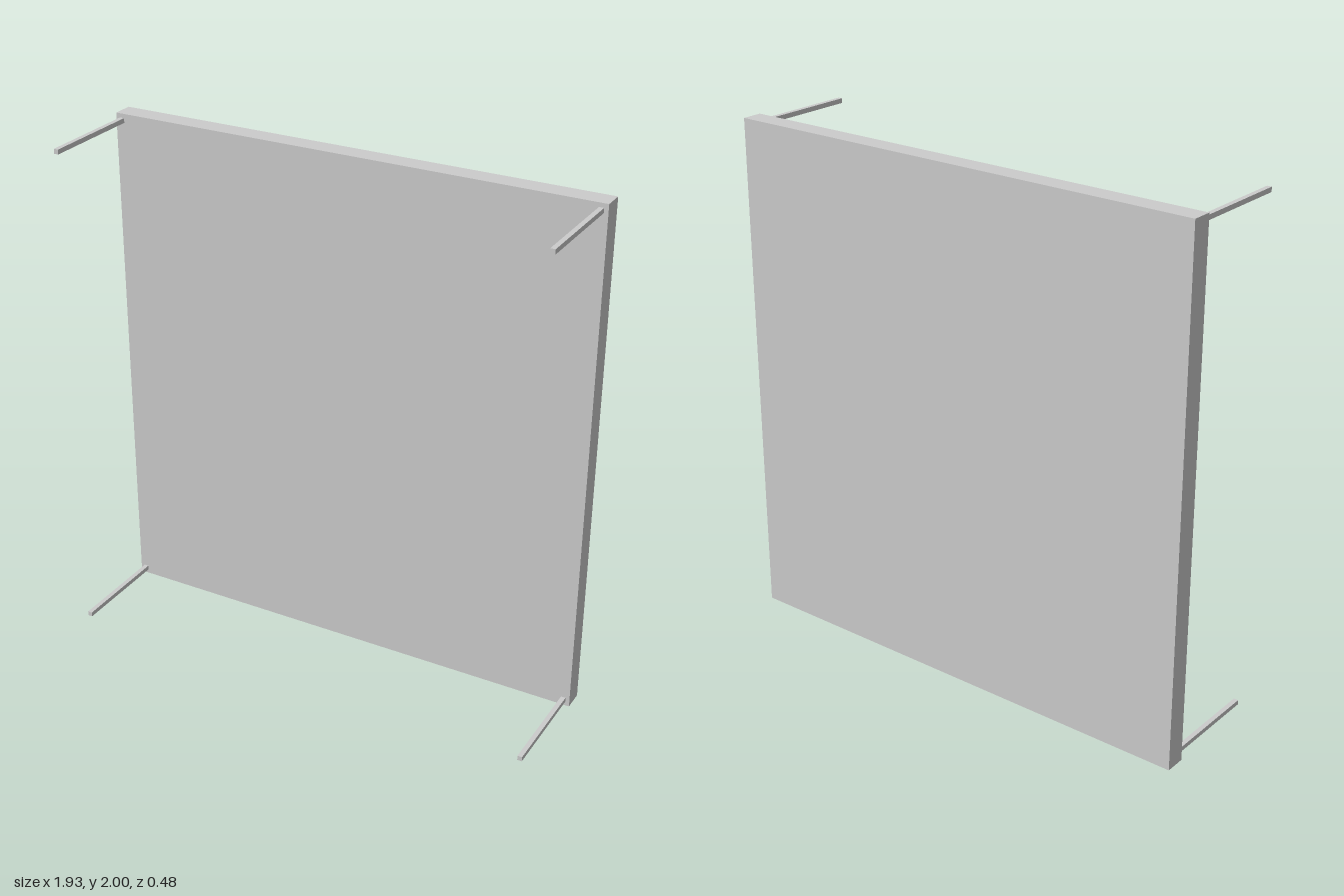
import * as THREE from 'three';

export function createModel() {
  const model = new THREE.Group();
  const material = new THREE.MeshStandardMaterial({ color: 0xcccccc, flatShading: true });
  const width = 1.934, height = 2, thickness = 0.08;
  const back = -0.242, front = 0.242;
  const rodSize = 0.018, inset = 0.025;

  const addBox = (name, w, h, d, x, y, z) => {
    const mesh = new THREE.Mesh(new THREE.BoxGeometry(w, h, d), material);
    mesh.name = name;
    mesh.position.set(x, y, z);
    model.add(mesh);
  };

  // Upright slab
  addBox('panel', width, height, thickness, 0, height / 2, back + thickness / 2);

  // Square rods standing out from the four front corners
  const rodLength = front - back - thickness;
  for (const [side, sx] of [['Left', 1], ['Right', -1]]) {
    for (const [level, y] of [['lower', inset], ['upper', height - inset]]) {
      addBox(`${level}${side}Rod`, rodSize, rodSize, rodLength,
        sx * (width / 2 - inset), y, front - rodLength / 2);
    }
  }
  return model;
}
